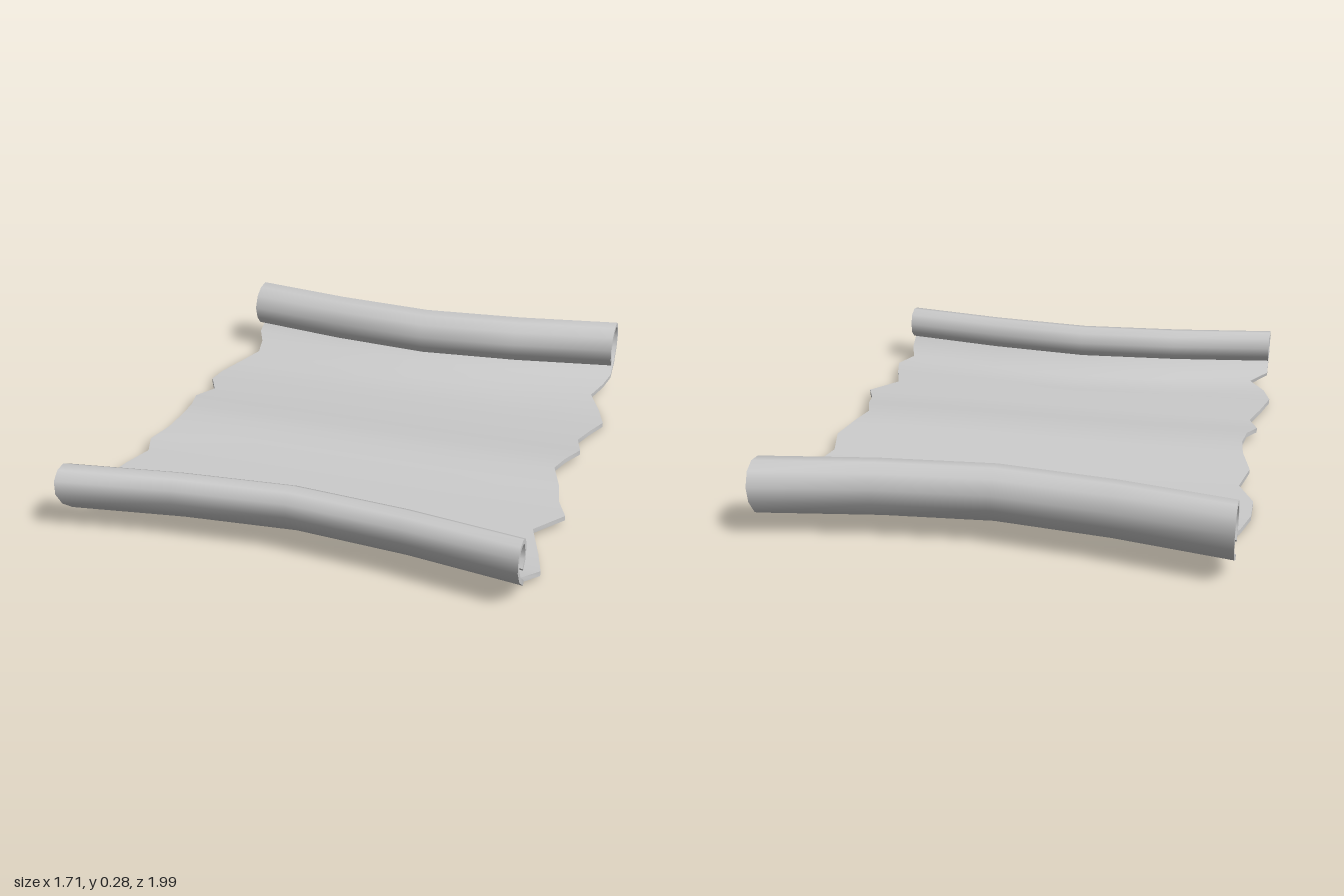
import * as THREE from 'three';

const HALF_THICK = 0.009;
const COLS = 4;

// Curls as [z, y], listed from the back tip to the front tip
const backCurl = [
  [-0.86, 0.122], [-0.83, 0.155], [-0.818, 0.2], [-0.84, 0.245], [-0.88, 0.271], [-0.93, 0.277],
  [-0.967, 0.257], [-0.986, 0.21], [-0.975, 0.155], [-0.935, 0.1], [-0.86, 0.062],
];
const frontCurl = [
  [0.89, 0.062], [0.95, 0.108], [0.985, 0.16], [0.985, 0.205], [0.96, 0.23], [0.925, 0.235],
  [0.893, 0.22], [0.88, 0.185], [0.886, 0.15], [0.912, 0.125],
];
// Wavy sheet with torn sides as [z, y, left edge x, right edge x]
const sheet = [
  [-0.79, 0.043, -0.79, 0.8], [-0.7, 0.027, -0.77, 0.765], [-0.58, 0.013, -0.82, 0.82],
  [-0.465, 0.013, -0.85, 0.855], [-0.36, 0.02, -0.85, 0.82], [-0.25, 0.027, -0.79, 0.79],
  [-0.13, 0.042, -0.82, 0.82], [-0.015, 0.058, -0.785, 0.785], [0.08, 0.062, -0.775, 0.76],
  [0.195, 0.052, -0.785, 0.8], [0.29, 0.037, -0.82, 0.82], [0.38, 0.033, -0.785, 0.86],
  [0.505, 0.032, -0.82, 0.77], [0.65, 0.025, -0.85, 0.82], [0.757, 0.024, -0.82, 0.85],
  [0.835, 0.036, -0.755, 0.8],
];
const widen = ([z, y]) => [z, y, -0.825, 0.82];
const rows = [...backCurl.map(widen), ...sheet, ...frontCurl.map(widen)];
const LAST = rows.length - 1;

// Point on the sheet: side is +1 for the upper skin, -1 for the lower skin
function point(i, j, side) {
  const [z, y, x0, x1] = rows[i];
  const a = rows[Math.max(i - 1, 0)], b = rows[Math.min(i + 1, LAST)];
  const dz = b[0] - a[0], dy = b[1] - a[1], len = Math.hypot(dz, dy);
  // The rolls bow towards the middle of the sheet
  const bow = [0, 0.64, 1, 0.64, 0][j] * THREE.MathUtils.smoothstep(Math.abs(z), 0.5, 0.85);
  const shift = bow * (z < 0 ? 0.11 : -0.1);
  return [
    x0 + (x1 - x0) * j / COLS,
    y + side * HALF_THICK * dz / len,
    z + shift - side * HALF_THICK * dy / len,
  ];
}

// Quad grid from a point rule; the front faces the direction u cross v
function grid(nu, nv, rule) {
  const pos = [], index = [];
  for (let u = 0; u <= nu; u++) {
    for (let v = 0; v <= nv; v++) {
      pos.push(...rule(u, v));
      if (u < nu && v < nv) {
        const a = u * (nv + 1) + v, b = a + nv + 1;
        index.push(a, b, a + 1, b, b + 1, a + 1);
      }
    }
  }
  const geo = new THREE.BufferGeometry();
  geo.setAttribute('position', new THREE.Float32BufferAttribute(pos, 3));
  geo.setIndex(index);
  geo.computeVertexNormals();
  return geo;
}

export function createModel() {
  const scroll = new THREE.Group();
  scroll.name = 'scroll';
  const material = new THREE.MeshStandardMaterial({ color: 0xcccccc });
  const add = (name, geo) => {
    const mesh = new THREE.Mesh(geo, material);
    mesh.name = name;
    scroll.add(mesh);
  };
  const up = [-1, 1], down = [1, -1];

  // Two skins of the parchment
  add('upperSkin', grid(LAST, COLS, (i, j) => point(i, j, 1)));
  add('lowerSkin', grid(LAST, COLS, (i, j) => point(i, COLS - j, -1)));

  // Thin torn edges at the sides
  add('rightEdge', grid(LAST, 1, (i, k) => point(i, 0, up[k])));
  add('leftEdge', grid(LAST, 1, (i, k) => point(i, COLS, down[k])));

  // Thin free edges inside the rolls
  add('frontRollEdge', grid(COLS, 1, (j, k) => point(LAST, j, up[k])));
  add('backRollEdge', grid(COLS, 1, (j, k) => point(0, j, down[k])));
  return scroll;
}
